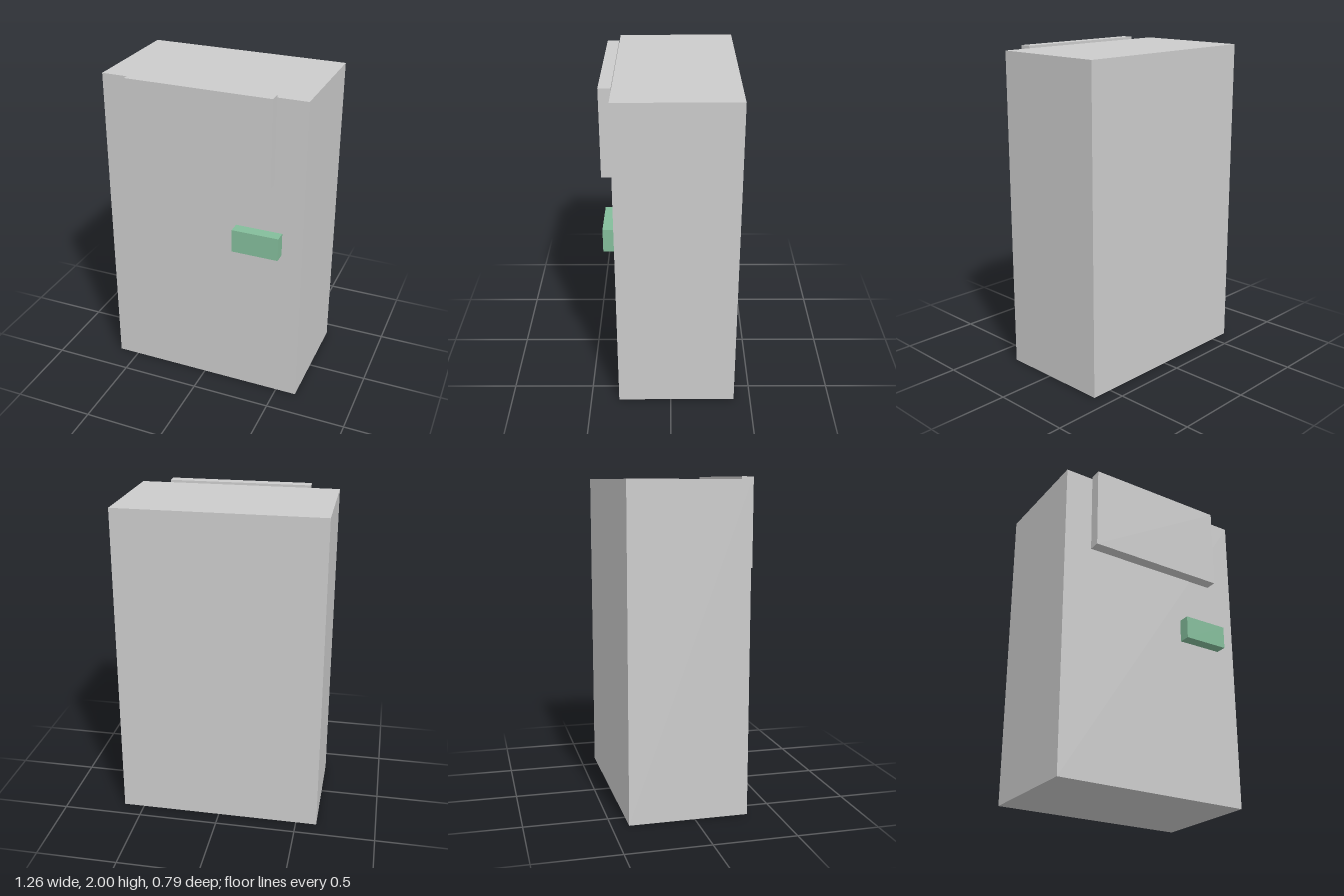
import * as THREE from 'three';

const GREY = 0xcccccc;
const GREEN = 0x84bd9b;

// Box given by its extents along each axis
function block(name, [x0, x1], [y0, y1], [z0, z1], color) {
  const mesh = new THREE.Mesh(
    new THREE.BoxGeometry(x1 - x0, y1 - y0, z1 - z0),
    new THREE.MeshStandardMaterial({ color })
  );
  mesh.position.set((x0 + x1) / 2, (y0 + y1) / 2, (z0 + z1) / 2);
  mesh.name = name;
  return mesh;
}

export function createModel() {
  const model = new THREE.Group();
  model.name = 'cabinetMachine';

  const back = -0.397, front = 0.325, proud = 0.397;

  model.add(
    // Main cabinet
    block('cabinet', [-0.63, 0.63], [0, 1.985], [back, front], GREY),
    // Raised panel, standing slightly above the cabinet top
    block('upperPanel', [-0.448, 0.448], [1.465, 2], [front, proud], GREY),
    // Small green block on the front
    block('greenDisplay', [0.215, 0.505], [1.01, 1.155], [front, proud], GREEN)
  );
  return model;
}
